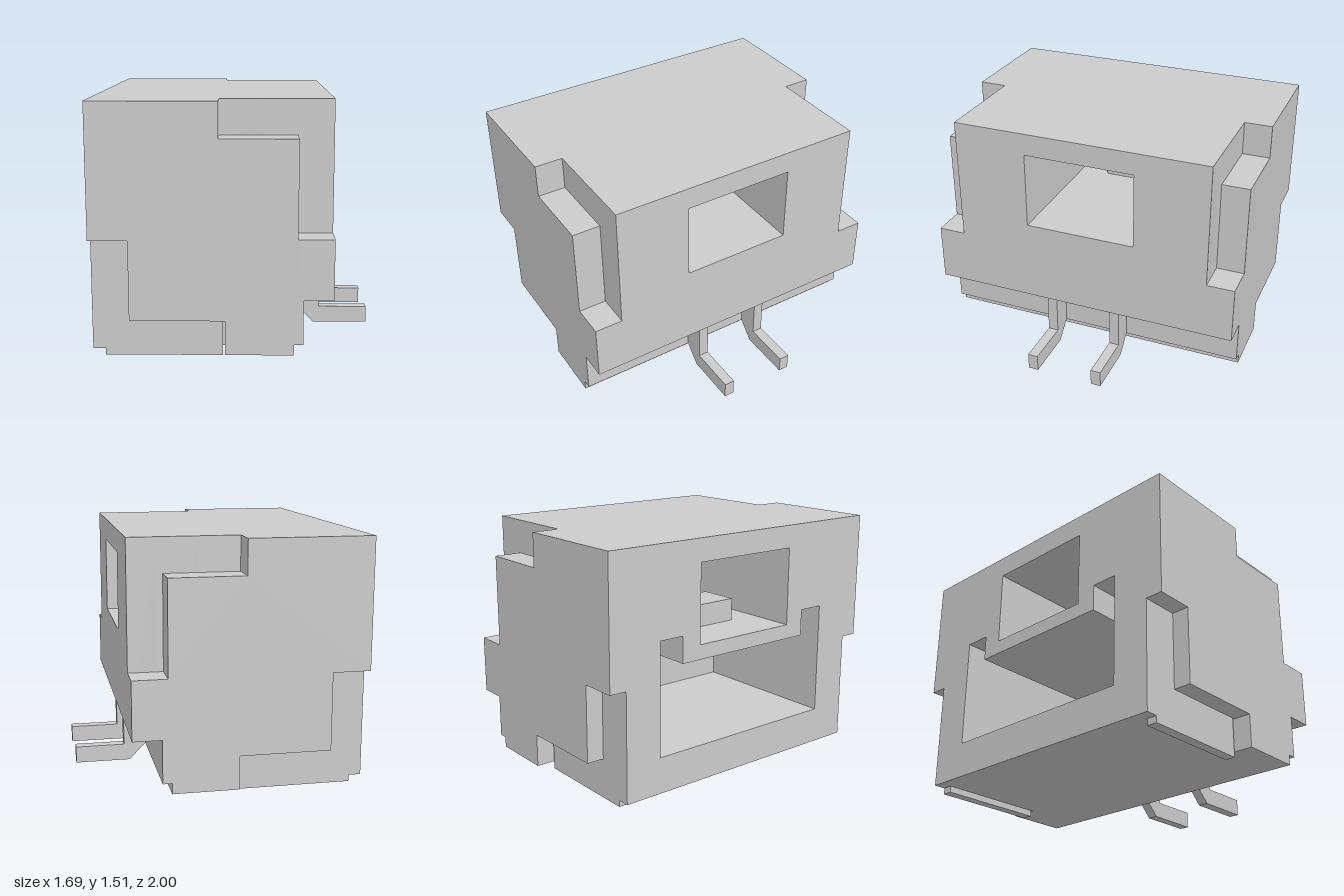
import * as THREE from 'three';

const grey = new THREE.MeshStandardMaterial({ color: 0xcccccc, flatShading: true });

const toPoints = (pts) => pts.map(([a, b]) => new THREE.Vector2(a, b));

// Extrudes an outline in the x-y plane from z0 to z1
function plate(name, pts, z0, z1) {
  const geo = new THREE.ExtrudeGeometry(new THREE.Shape(toPoints(pts)), { depth: z1 - z0, bevelEnabled: false });
  geo.translate(0, 0, z0);
  const mesh = new THREE.Mesh(geo, grey);
  mesh.name = name;
  return mesh;
}

// Extrudes a z-y section, with holes, along x from x0 to x1
function section(name, x0, x1, bottom, holes) {
  const w = 0.825, top = 1.515;
  const shape = new THREE.Shape(toPoints([[-w, bottom], [w, bottom], [w, top], [-w, top]]));
  shape.holes = holes.map((h) => new THREE.Path(toPoints(h)));
  const geo = new THREE.ExtrudeGeometry(shape, { depth: x1 - x0, bevelEnabled: false });
  geo.rotateY(Math.PI / 2);
  geo.translate(x0, 0, 0);
  const mesh = new THREE.Mesh(geo, grey);
  mesh.name = name;
  return mesh;
}

export function createModel() {
  const model = new THREE.Group();
  model.name = 'connector';

  // Housing core: latch window runs right through, plug cavity is blind
  const latchWindow = [[-0.355, 0.89], [-0.355, 1.375], [0.355, 1.375], [0.355, 0.89]];
  const plugCavity = [
    [-0.65, 0.265], [-0.65, 0.965], [-0.485, 0.965], [-0.485, 0.8],
    [0.485, 0.8], [0.485, 0.965], [0.65, 0.965], [0.65, 0.265],
  ];
  const backWall = 0.15;
  model.add(
    section('housingSleeve', -0.85, backWall, 0.04, [latchWindow, plugCavity]),
    section('housingBackWall', backWall, 0.335, 0.04, [latchWindow]),
    section('housingLowerStep', 0.335, 0.39, 0.105, [latchWindow]),
    section('housingOverhang', 0.39, 0.565, 0.37, [latchWindow]),
  );

  // Latch block on the window floor
  const latch = new THREE.Mesh(new THREE.BoxGeometry(0.25, 0.14, 0.33), grey);
  latch.name = 'latchBlock';
  latch.position.set(-0.425, 0.96, 0);
  model.add(latch);

  // Stepped cheeks, anchor tabs and bent pins, mirrored front to back
  const cheek = [
    [-0.85, 0.72], [-0.62, 0.72], [-0.62, 0.245], [-0.065, 0.245], [-0.065, 0.04],
    [0.335, 0.04], [0.335, 0.105], [0.39, 0.105], [0.39, 0.37], [0.565, 0.37],
    [0.565, 0.73], [0.355, 0.73], [0.355, 1.305], [-0.1, 1.305], [-0.1, 1.515], [-0.85, 1.515],
  ];
  const tab = [
    [-0.85, 0.04], [-0.775, 0.04], [-0.775, 0], [-0.08, 0], [-0.08, 0.245],
    [-0.62, 0.245], [-0.62, 0.72], [-0.85, 0.72],
  ];
  const pin = [
    [0.39, 0.37], [0.39, 0.105], [0.495, 0], [0.84, 0], [0.84, 0.105], [0.53, 0.105], [0.53, 0.37],
  ];
  for (const [side, s] of [['front', 1], ['back', -1]]) {
    const add = (part, pts, a, b) =>
      model.add(plate(side + part, pts, Math.min(s * a, s * b), Math.max(s * a, s * b)));
    add('Cheek', cheek, 0.825, 1);
    add('AnchorTab', tab, 0.825, 0.89);
    add('Pin', pin, 0.185, 0.25);
  }
  return model;
}
